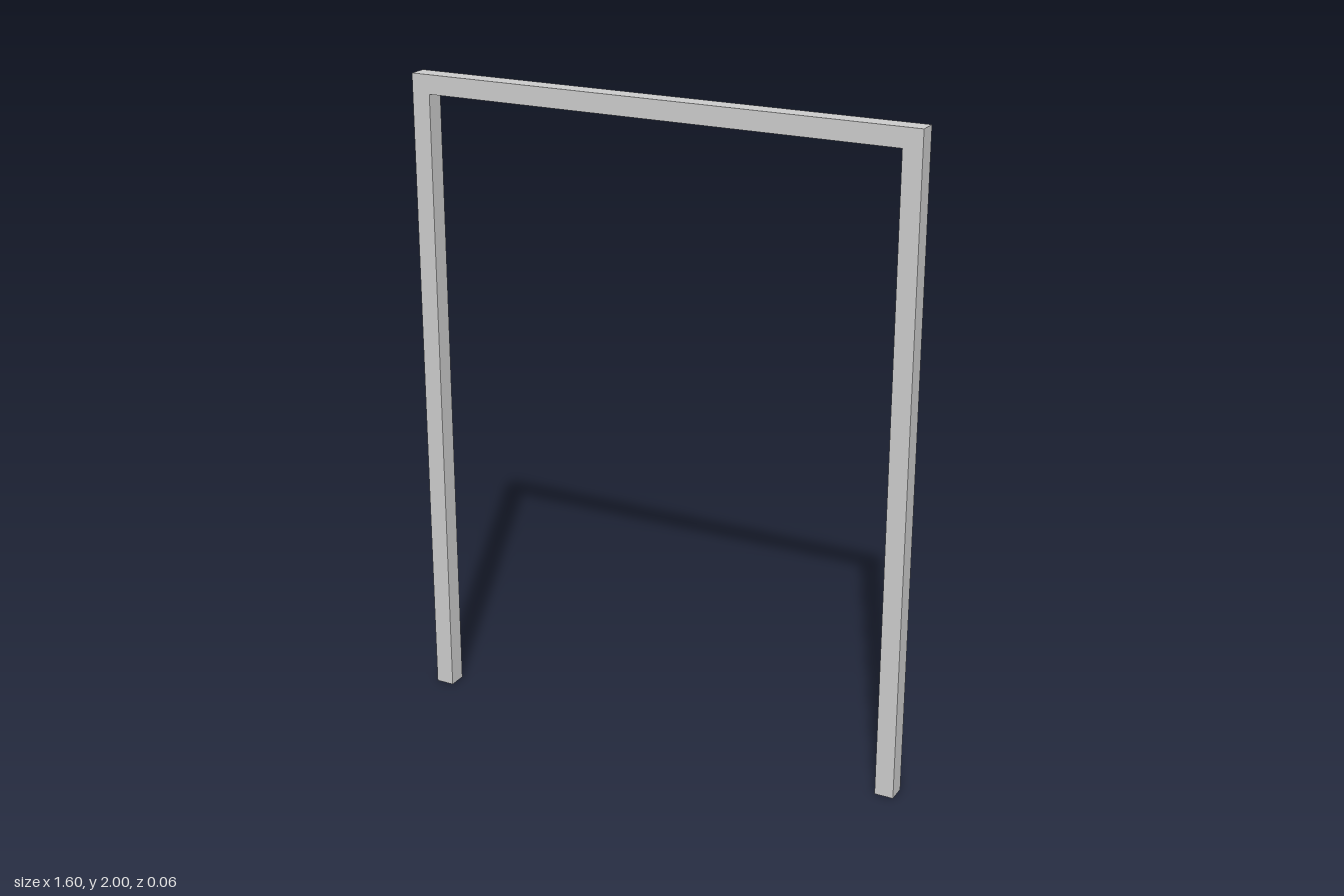
import * as THREE from 'three';

const HALF_WIDTH = 0.798;
const HEIGHT = 2;
const BAR = 0.058; // square bar thickness

export function createModel() {
  const group = new THREE.Group();
  group.name = 'doorFrame';

  // Two posts and a lintel as one continuous outline, open at the floor
  const inner = HALF_WIDTH - BAR;
  const outline = new THREE.Shape([
    [-HALF_WIDTH, 0], [-inner, 0], [-inner, HEIGHT - BAR], [inner, HEIGHT - BAR],
    [inner, 0], [HALF_WIDTH, 0], [HALF_WIDTH, HEIGHT], [-HALF_WIDTH, HEIGHT],
  ].map(([x, y]) => new THREE.Vector2(x, y)));

  const geometry = new THREE.ExtrudeGeometry(outline, { depth: BAR, bevelEnabled: false });
  geometry.translate(0, 0, -BAR / 2);

  const frame = new THREE.Mesh(geometry, new THREE.MeshStandardMaterial({ color: 0xcccccc }));
  frame.name = 'postsAndLintel';
  group.add(frame);
  return group;
}
